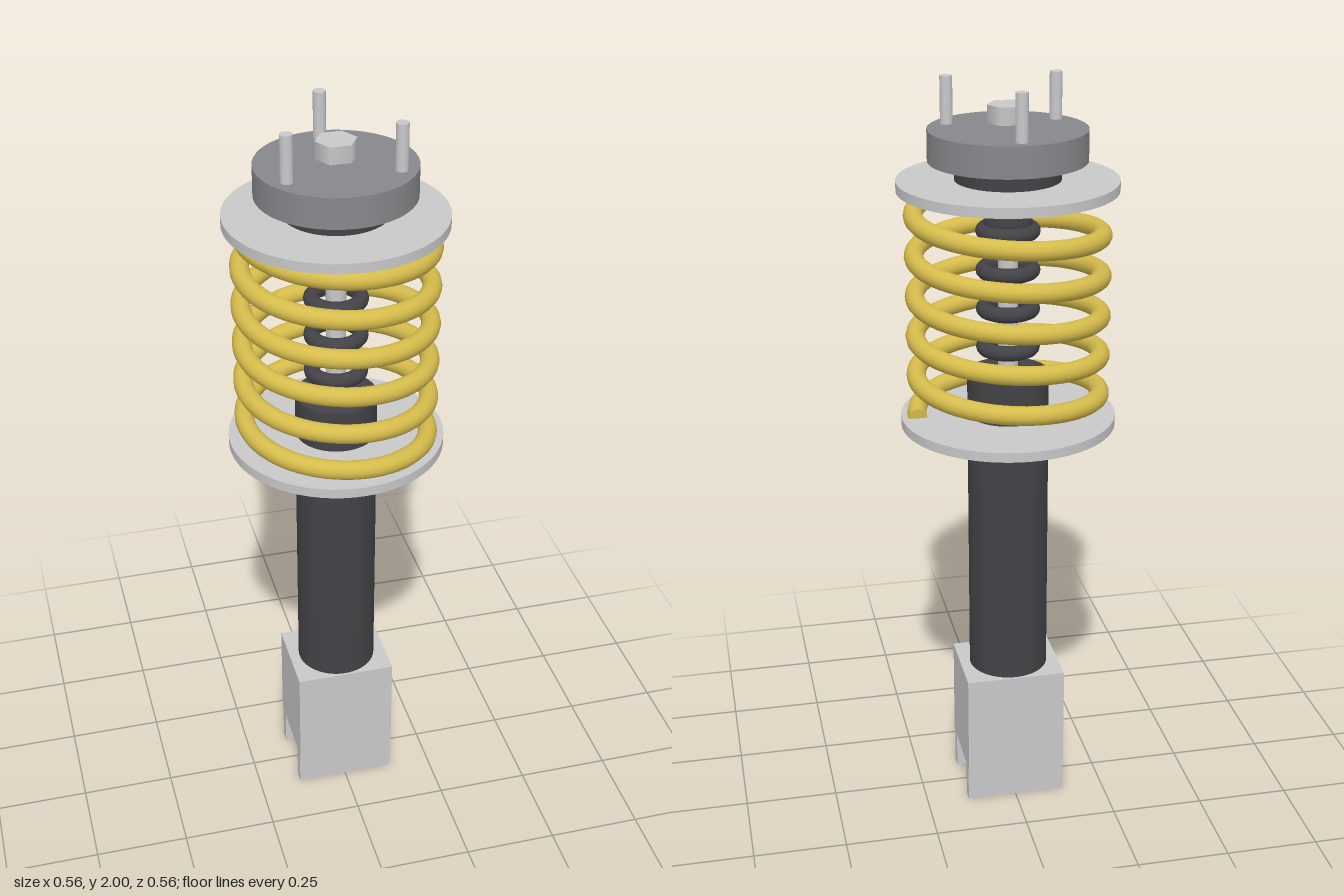
import * as THREE from 'three';

const mat = (name, color) => {
  const m = new THREE.MeshStandardMaterial({ color });
  m.name = name;
  return m;
};

// Constant-pitch helix starting on +x
class Helix extends THREE.Curve {
  constructor(radius, y0, pitch, turns) {
    super();
    Object.assign(this, { radius, y0, pitch, turns });
  }
  getPoint(t, target = new THREE.Vector3()) {
    const a = t * this.turns * Math.PI * 2;
    return target.set(this.radius * Math.cos(a), this.y0 + this.pitch * this.turns * t, this.radius * Math.sin(a));
  }
}

export function createModel() {
  const group = new THREE.Group();
  const steel = mat('light steel', 0xc8c8ca);
  const grey = mat('mount grey', 0x87888b);
  const dark = mat('dark rubber', 0x434347);
  const yellow = mat('spring yellow', 0xd6bc4c);

  const add = (name, geometry, material, x = 0, y = 0, z = 0) => {
    const mesh = new THREE.Mesh(geometry, material);
    mesh.name = name;
    mesh.position.set(x, y, z);
    group.add(mesh);
    return mesh;
  };
  // Upright cylinder between two heights
  const post = (name, r, y0, y1, material, x = 0, z = 0, sides = 64) =>
    add(name, new THREE.CylinderGeometry(r, r, y1 - y0, sides), material, x, (y0 + y1) / 2, z);

  // Lower clamp block with two tabs
  add('clampBlock', new THREE.BoxGeometry(0.27, 0.28, 0.226), steel, 0, 0.24, 0);
  for (const s of [1, -1]) {
    add('clampTab', new THREE.BoxGeometry(0.27, 0.1, 0.03), steel, 0, 0.05, s * 0.09);
  }

  // Damper body and piston rod
  post('damperBody', 0.107, 0.38, 1.24, dark);
  post('pistonRod', 0.026, 1.24, 1.74, steel, 0, 0, 32);

  // Spring seats and coil spring
  post('lowerSeat', 0.282, 1.1, 1.126, steel);
  post('upperSeat', 0.282, 1.726, 1.752, steel);
  const coil = new Helix(0.24, 1.127, 0.1065, 5.5);
  add('coilSpring', new THREE.TubeGeometry(coil, 360, 0.025, 14, false), yellow);
  for (const t of [0, 1]) {
    const cap = add('springEnd', new THREE.CircleGeometry(0.025, 14), yellow);
    cap.position.copy(coil.getPoint(t));
    cap.lookAt(cap.position.clone().addScaledVector(coil.getTangent(t), t ? 1 : -1));
  }

  // Bump stop and boot rings around the rod
  const stop = [[0, 1.6], [0.066, 1.6], [0.062, 1.65], [0.057, 1.69], [0.052, 1.708], [0.04, 1.718], [0, 1.72]];
  add('bumpStop', new THREE.LatheGeometry(stop.map(p => new THREE.Vector2(...p)), 40), dark);
  for (let i = 0; i < 4; i++) {
    const ring = add('bootRing', new THREE.TorusGeometry(0.063, 0.02, 14, 48), dark, 0, 1.31 + i * 0.1033, 0);
    ring.rotation.x = Math.PI / 2;
  }

  // Top mount, centre nut and three studs
  post('mountNeck', 0.135, 1.75, 1.805, dark);
  post('topMount', 0.202, 1.8, 1.88, grey);
  const nut = post('centreNut', 0.053, 1.895, 1.94, steel, 0, 0, 6);
  nut.rotation.y = Math.PI / 6;
  for (let i = 0; i < 3; i++) {
    const a = -Math.PI / 2 + i * Math.PI * 2 / 3;
    post('mountStud', 0.016, 1.875, 2, steel, 0.162 * Math.cos(a), 0.162 * Math.sin(a), 24);
  }
  return group;
}
